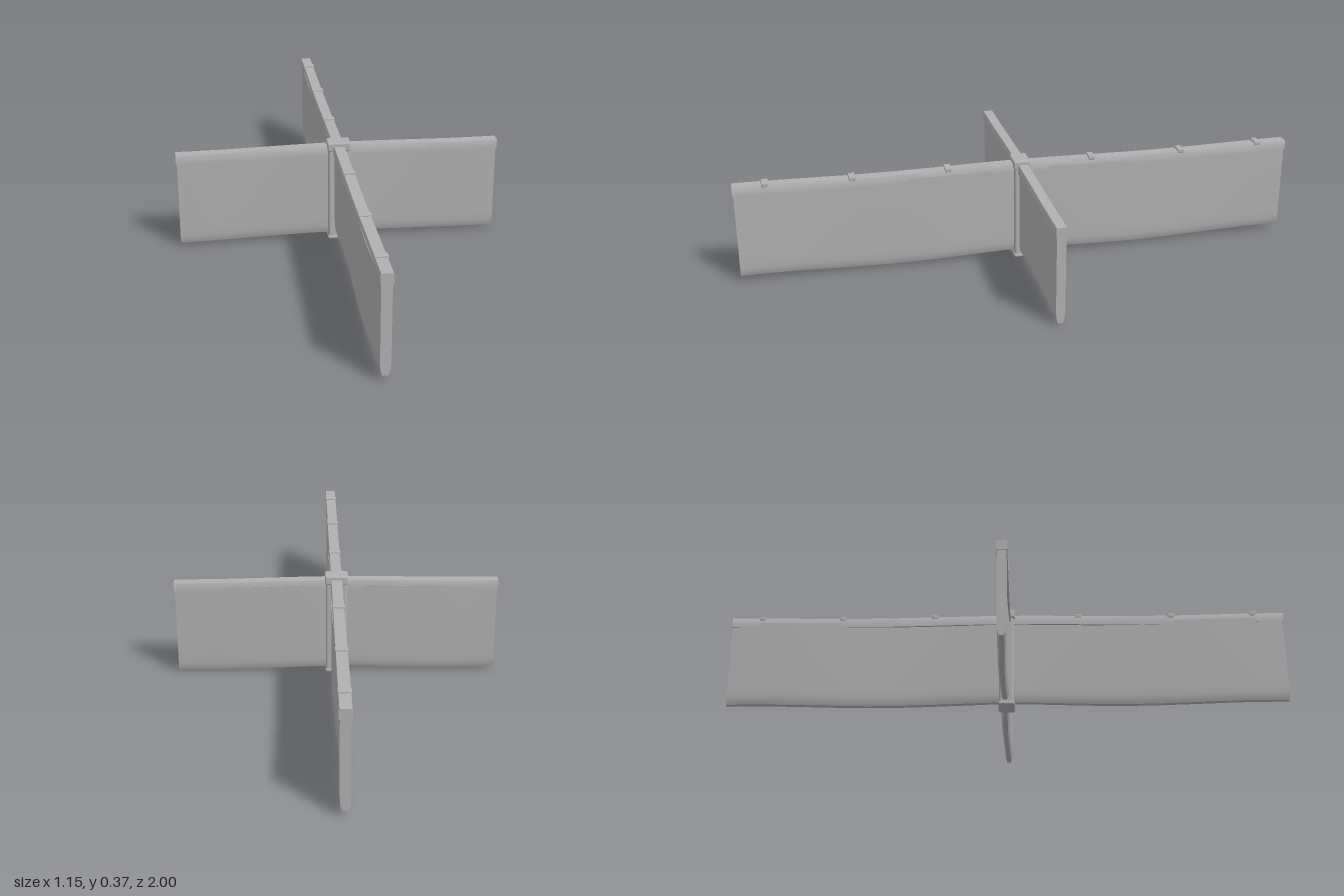
import * as THREE from 'three';
import { toCreasedNormals } from 'three/addons/utils/BufferGeometryUtils.js';
import { RoundedBoxGeometry } from 'three/addons/geometries/RoundedBoxGeometry.js';

// Skins convex cross-sections [z, y] along x; section(x) lists them top -> +z -> bottom -> -z
function loft(half, steps, section) {
  const pos = [], idx = [];
  let n = 0;
  for (let i = 0; i <= steps; i++) {
    const x = -half + (2 * half * i) / steps;
    const ring = section(x);
    n = ring.length;
    ring.forEach(([z, y]) => pos.push(x, y, z));
  }
  for (let i = 0; i < steps; i++) {
    for (let j = 0; j < n; j++) {
      const a = i * n + j, c = i * n + (j + 1) % n;
      idx.push(a, c, a + n, c, c + n, a + n);
    }
  }
  const last = steps * n;
  for (let j = 1; j < n - 1; j++) {
    idx.push(0, j + 1, j, last, last + j, last + j + 1);
  }
  const geo = new THREE.BufferGeometry();
  geo.setAttribute('position', new THREE.Float32BufferAttribute(pos, 3));
  geo.setIndex(idx);
  return toCreasedNormals(geo, 0.7);
}

export function createModel() {
  const model = new THREE.Group();
  model.name = 'crossDivider';
  const grey = new THREE.MeshStandardMaterial({ color: 0xb0b0b0 });
  grey.name = 'grey plastic';

  const add = (parent, name, geo, x = 0, y = 0, z = 0) => {
    const mesh = new THREE.Mesh(geo, grey);
    mesh.name = name;
    mesh.position.set(x, y, z);
    parent.add(mesh);
    return mesh;
  };

  // A wall is a slightly wavy panel with rounded foot under a straight top rail
  function wall(name, half, rail, top, bottom, bend, centre) {
    const group = new THREE.Group();
    group.name = name;
    add(group, name + 'Panel', loft(half - 0.003, 40, (x) => {
      const p = rail - 0.003, c = centre + bend(x), b = bottom(x), t = top(x) - 0.02;
      const side = [[p, t], [p, b + 0.055], [p * 0.95, b + 0.03], [p * 0.8, b + 0.012], [p * 0.5, b]];
      const other = side.map(([z, y]) => [-z, y]).reverse();
      return [...side, ...other].map(([z, y]) => [z + c, y]);
    }));
    add(group, name + 'Rail', loft(half, 40, (x) => {
      const t = top(x), r = rail;
      return [[r - 0.002, t], [r, t - 0.003], [r, t - 0.035],
        [-r, t - 0.035], [-r, t - 0.003], [-r + 0.002, t]].map(([z, y]) => [z + centre, y]);
    }));
    model.add(group);
    return group;
  }

  const wave = (x) => (1 - Math.cos(2 * Math.PI * x)) / 2;

  // Long wall runs front to back
  const longTop = (x) => 0.358 - 0.006 * wave(x);
  const longWall = wall('longWall', 1, 0.02, longTop,
    (x) => 0.02 - 0.01 * wave(x),
    (x) => -0.005 * Math.sin(2 * Math.PI * Math.abs(x)), 0);
  longWall.rotation.y = -Math.PI / 2;

  // Small tabs on the long rail
  for (const s of [-1, 1]) {
    for (const d of [0.26, 0.595, 0.89]) {
      add(longWall, 'railTab', new RoundedBoxGeometry(0.024, 0.016, 0.044, 2, 0.004),
        s * d, longTop(d) - 0.001, 0);
    }
  }

  // Short wall runs side to side, set slightly back
  const arch = (x) => (1 + Math.cos(Math.PI * Math.min(1, Math.abs(x) / 0.5))) / 2;
  wall('shortWall', 0.573, 0.0185,
    (x) => 0.351 + 0.007 * arch(x),
    (x) => 0.01 + 0.008 * arch(x),
    (x) => -0.005 * Math.sin(Math.PI * Math.min(1, Math.abs(x) / 0.5)), -0.0035);

  // Joint where the walls cross
  add(model, 'jointPost', new RoundedBoxGeometry(0.076, 0.35, 0.052, 3, 0.008), 0, 0.177, 0);
  add(model, 'jointFoot', new RoundedBoxGeometry(0.08, 0.014, 0.058, 3, 0.006), 0, 0.007, 0);
  add(model, 'jointCap', new RoundedBoxGeometry(0.082, 0.032, 0.06, 3, 0.006), 0, 0.356, 0);

  return model;
}
